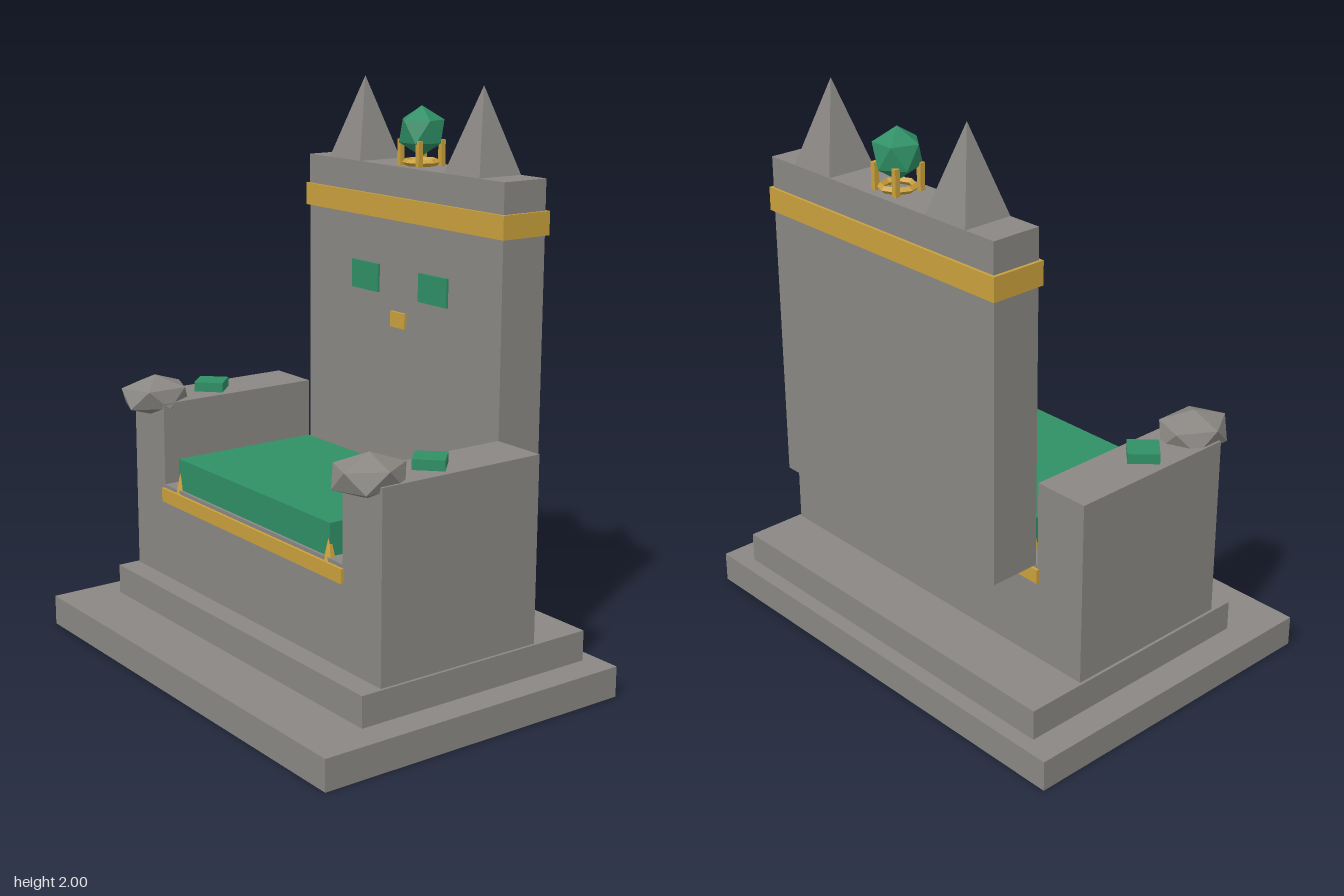
import * as THREE from 'three';

const mat = (name, color) => Object.assign(new THREE.MeshStandardMaterial({ color, flatShading: true }), { name });

export function createModel() {
  const stone = mat('stone', 0x8a8783);
  const green = mat('emerald green', 0x2f8f65);
  const gold = mat('gold', 0xc9a03c);
  const model = new THREE.Group();
  model.name = 'throne';

  const add = (name, geometry, material, x = 0, y = 0, z = 0) => {
    const mesh = new THREE.Mesh(geometry, material);
    mesh.name = name;
    mesh.position.set(x, y, z);
    model.add(mesh);
    return mesh;
  };
  // Box given by its limits on each axis
  const block = (name, material, [x0, x1], [y0, y1], [z0, z1]) =>
    add(name, new THREE.BoxGeometry(x1 - x0, y1 - y0, z1 - z0), material,
      (x0 + x1) / 2, (y0 + y1) / 2, (z0 + z1) / 2);
  // Icosahedron standing on a vertex
  const crystal = () =>
    new THREE.IcosahedronGeometry(1, 0).rotateX(-Math.atan((1 + Math.sqrt(5)) / 2));

  // Plinth and seat
  block('base', stone, [-0.85, 0.85], [0, 0.108], [-0.6, 0.6]);
  block('step', stone, [-0.745, 0.745], [0.108, 0.215], [-0.545, 0.385]);
  block('seat', stone, [-0.535, 0.535], [0.215, 0.563], [-0.33, 0.305]);
  block('seatTrim', gold, [-0.542, 0.542], [0.5, 0.55], [-0.34, 0.315]);
  block('cushion', green, [-0.455, 0.455], [0.563, 0.675], [-0.27, 0.295]);

  // Backrest with its band and face inlays
  block('backrest', stone, [-0.532, 0.532], [0.565, 1.71], [-0.515, -0.335]);
  block('backrestBand', gold, [-0.543, 0.543], [1.525, 1.605], [-0.525, -0.325]);
  block('noseInlay', gold, [-0.04, 0.04], [1.15, 1.205], [-0.335, -0.326]);

  for (const s of [-1, 1]) {
    const span = (a, b) => (s > 0 ? [a, b] : [-b, -a]);
    block('armrest', stone, span(0.535, 0.735), [0.215, 0.86], [-0.33, 0.305]);
    block('eyeInlay', green, span(0.112, 0.263), [1.26, 1.36], [-0.335, -0.326]);

    // Diamond set on the armrest
    const diamond = add('armDiamond', new THREE.BoxGeometry(0.105, 0.035, 0.105), green, s * 0.635, 0.877, 0.04);
    diamond.rotation.y = Math.PI / 4;

    // Faceted knob at the front of the armrest
    add('armKnob', crystal().rotateY(s * Math.PI / 10).scale(0.117, 0.075, 0.141), stone, s * 0.635, 0.872, 0.28);

    // Square spire
    const spire = new THREE.ConeGeometry(0.09 * Math.SQRT2, 0.29, 4).rotateY(Math.PI / 4);
    add('spire', spire, stone, s * 0.32, 1.855, -0.425);

    // Tassels at the cushion corners
    for (const z of [-0.265, 0.29]) {
      add('tassel', new THREE.ConeGeometry(0.026, 0.115, 6), gold, s * 0.447, 0.588, z);
    }

    // Prongs holding the crown gem
    for (const t of [-1, 1]) {
      add('prong', new THREE.BoxGeometry(0.018, 0.09, 0.018), gold, s * 0.05, 1.755, -0.425 + t * 0.05);
    }
  }

  // Crown gem and its ring
  add('gemRing', new THREE.TorusGeometry(0.055, 0.012, 4, 8).rotateX(Math.PI / 2), gold, 0, 1.722, -0.425);
  add('crownGem', crystal().scale(0.087, 0.087, 0.087), green, 0, 1.828, -0.425);

  return model;
}
